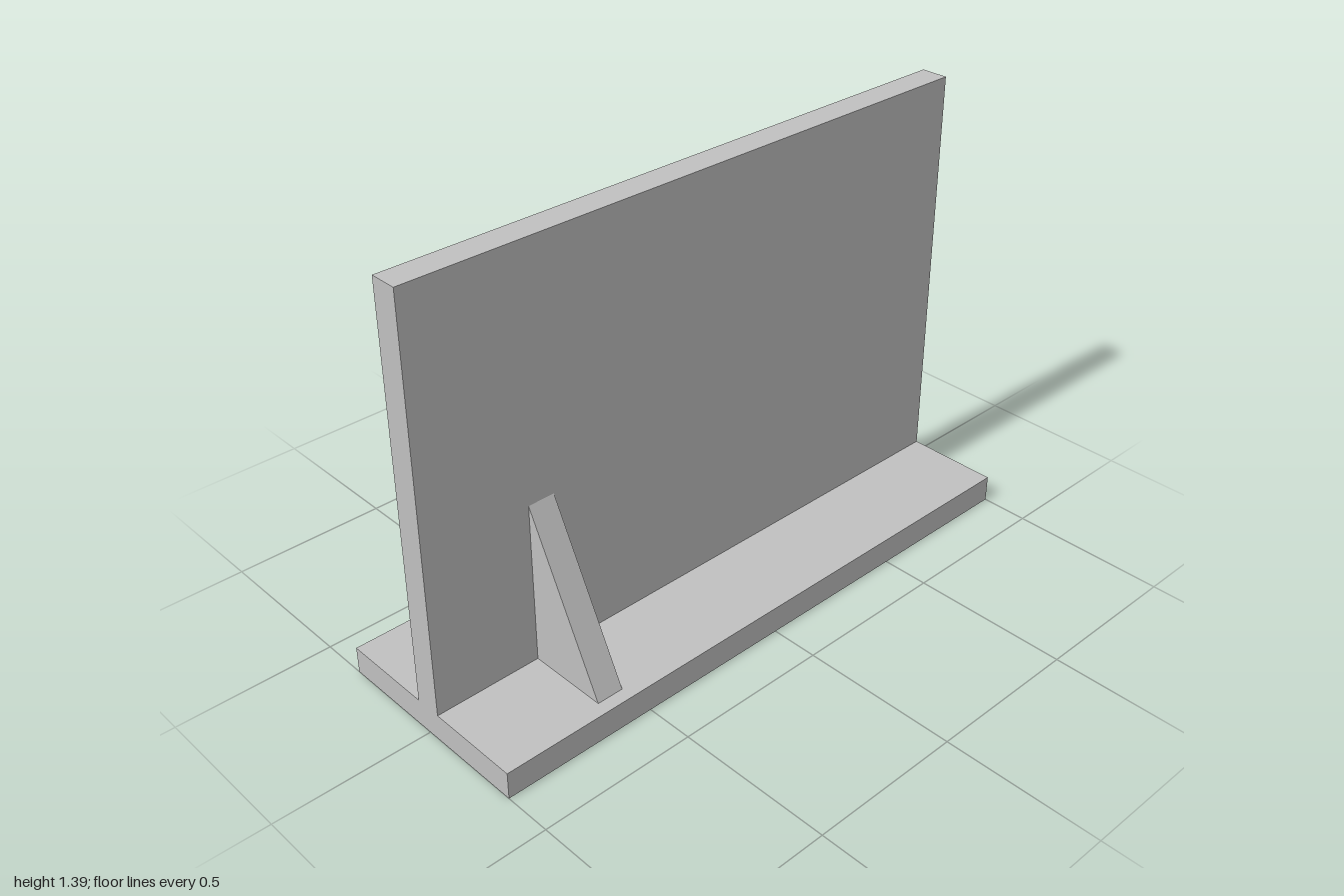
import * as THREE from 'three';

const plateThickness = 0.087;
const height = 1.39;

export function createModel() {
  const model = new THREE.Group();
  model.name = 'bracedPanelStand';
  const grey = new THREE.MeshStandardMaterial({ color: 0xc0c0c0 });
  grey.name = 'plain grey';

  function addPart(name, geometry, y = 0) {
    const mesh = new THREE.Mesh(geometry, grey);
    mesh.name = name;
    mesh.position.y = y;
    model.add(mesh);
    return mesh;
  }

  // Flat base and the upright panel standing along its middle
  addPart('base', new THREE.BoxGeometry(2, plateThickness, 0.696), plateThickness / 2);
  const panelHeight = height - plateThickness;
  addPart('panel', new THREE.BoxGeometry(2, panelHeight, plateThickness), plateThickness + panelHeight / 2);

  // Triangular brace profile: distance from the panel centre, height
  const profile = new THREE.Shape([
    new THREE.Vector2(plateThickness / 2, plateThickness),
    new THREE.Vector2(0.305, plateThickness),
    new THREE.Vector2(plateThickness / 2, 0.61),
  ]);
  const brace = new THREE.ExtrudeGeometry(profile, { depth: plateThickness, bevelEnabled: false });
  brace.translate(0, 0, -plateThickness / 2);
  brace.rotateY(-Math.PI / 2);
  brace.translate(-0.609, 0, 0);

  // One brace in front, the other turned half round to the back
  addPart('frontBrace', brace);
  addPart('backBrace', brace).rotation.y = Math.PI;

  return model;
}
